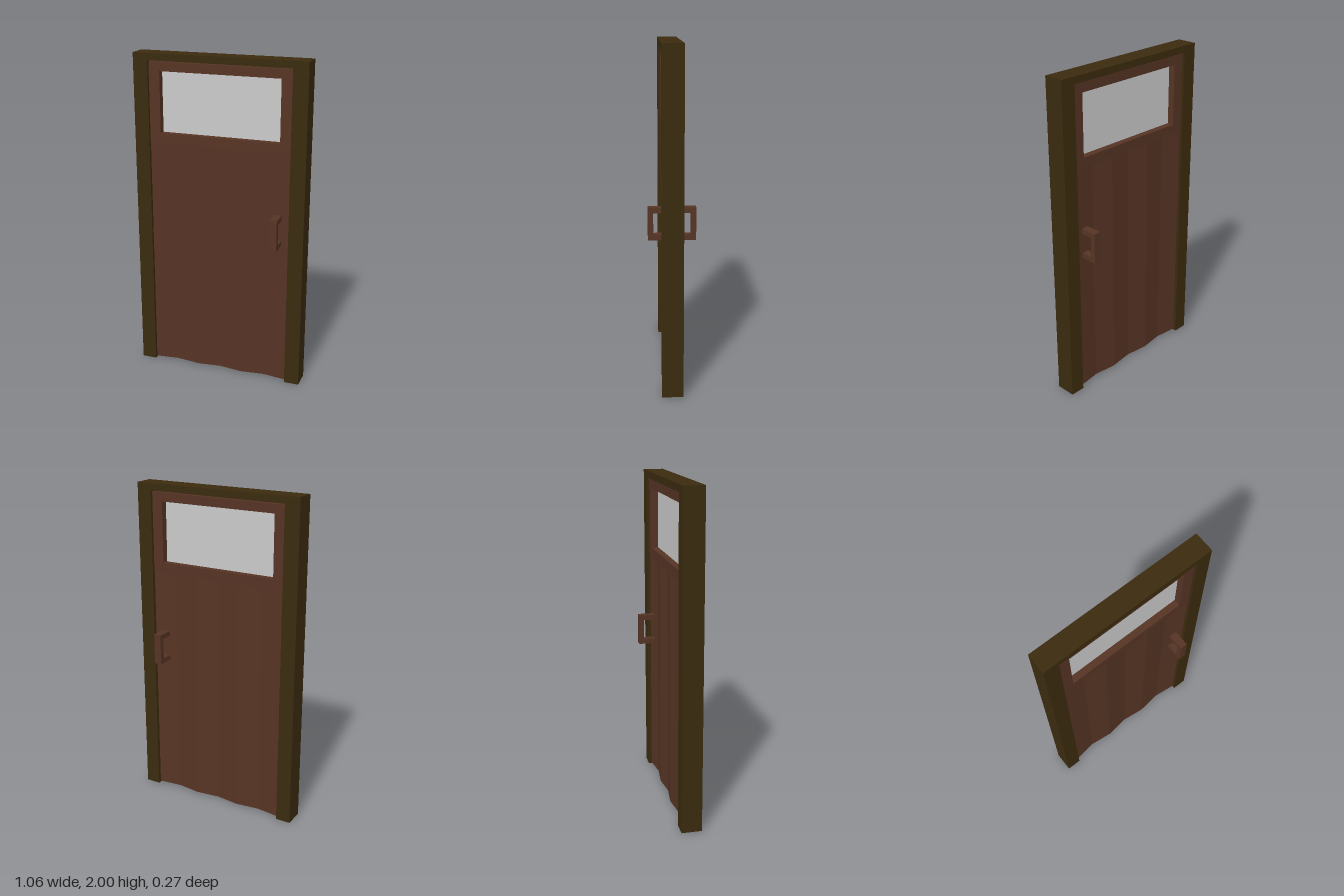
import * as THREE from 'three';

export function createModel() {
  const door = new THREE.Group();
  door.name = 'door';
  const mat = (name, color) => {
    const m = new THREE.MeshStandardMaterial({ color });
    m.name = name;
    return m;
  };
  const darkWood = mat('dark wood', 0x3b2b0f);
  const brownWood = mat('brown wood', 0x563424);
  const paneGrey = mat('pane grey', 0xcacaca);

  // Box given by its min and max corners
  function box(name, material, x0, x1, y0, y1, z0, z1, parent = door) {
    const mesh = new THREE.Mesh(new THREE.BoxGeometry(x1 - x0, y1 - y0, z1 - z0), material);
    mesh.position.set((x0 + x1) / 2, (y0 + y1) / 2, (z0 + z1) / 2);
    mesh.name = name;
    parent.add(mesh);
    return mesh;
  }

  // Outer frame: an upside-down U
  const frameShape = new THREE.Shape([
    [-0.532, 0], [-0.44, 0], [-0.44, 1.957], [0.44, 1.957],
    [0.44, 0], [0.532, 0], [0.532, 2], [-0.532, 2],
  ].map(([x, y]) => new THREE.Vector2(x, y)));
  const frame = new THREE.Mesh(
    new THREE.ExtrudeGeometry(frameShape, { depth: 0.123, bevelEnabled: false }), darkWood);
  frame.position.z = -0.063;
  frame.name = 'doorFrame';
  door.add(frame);

  // Folded lower panel: zigzag cross-section on both faces, extruded upwards
  const folds = 6, peak = 0.042, valley = 0.024, zMid = -0.0015;
  const front = [], back = [];
  for (let i = 0; i <= folds; i++) {
    const x = -0.44 + (0.88 * i) / folds;
    const d = i % 2 ? valley : peak;
    front.push(new THREE.Vector2(x, d));
    back.unshift(new THREE.Vector2(x, -d));
  }
  const panelGeo = new THREE.ExtrudeGeometry(
    new THREE.Shape([...front, ...back]), { depth: 1.458, bevelEnabled: false });
  panelGeo.rotateX(-Math.PI / 2);
  const panel = new THREE.Mesh(panelGeo, brownWood);
  panel.position.set(0, 0.007, zMid);
  panel.name = 'foldedPanel';
  door.add(panel);

  // Window surround with a rectangular opening
  const rect = (T, x, y0, y1) => new T([
    [-x, y0], [x, y0], [x, y1], [-x, y1],
  ].map(([a, b]) => new THREE.Vector2(a, b)));
  const surroundShape = rect(THREE.Shape, 0.44, 1.465, 1.949);
  surroundShape.holes.push(rect(THREE.Path, 0.372, 1.525, 1.895));
  const surround = new THREE.Mesh(
    new THREE.ExtrudeGeometry(surroundShape, { depth: 0.09, bevelEnabled: false }), brownWood);
  surround.position.z = zMid - 0.045;
  surround.name = 'windowSurround';
  door.add(surround);

  // Window pane
  box('windowPane', paneGrey, -0.372, 0.372, 1.525, 1.895, zMid - 0.004, zMid + 0.004);

  // Pull handle on each face: two arms and a grip
  for (const [name, side] of [['frontHandle', 1], ['backHandle', -1]]) {
    const handle = new THREE.Group();
    handle.name = name;
    const span = (a, b) => (side > 0 ? [zMid + a, zMid + b] : [zMid - b, zMid - a]);
    box('grip', brownWood, 0.345, 0.391, 0.9, 1.09, ...span(0.106, 0.137), handle);
    box('upperArm', brownWood, 0.345, 0.391, 1.058, 1.09, ...span(0.02, 0.106), handle);
    box('lowerArm', brownWood, 0.345, 0.391, 0.9, 0.932, ...span(0.02, 0.106), handle);
    door.add(handle);
  }

  return door;
}
